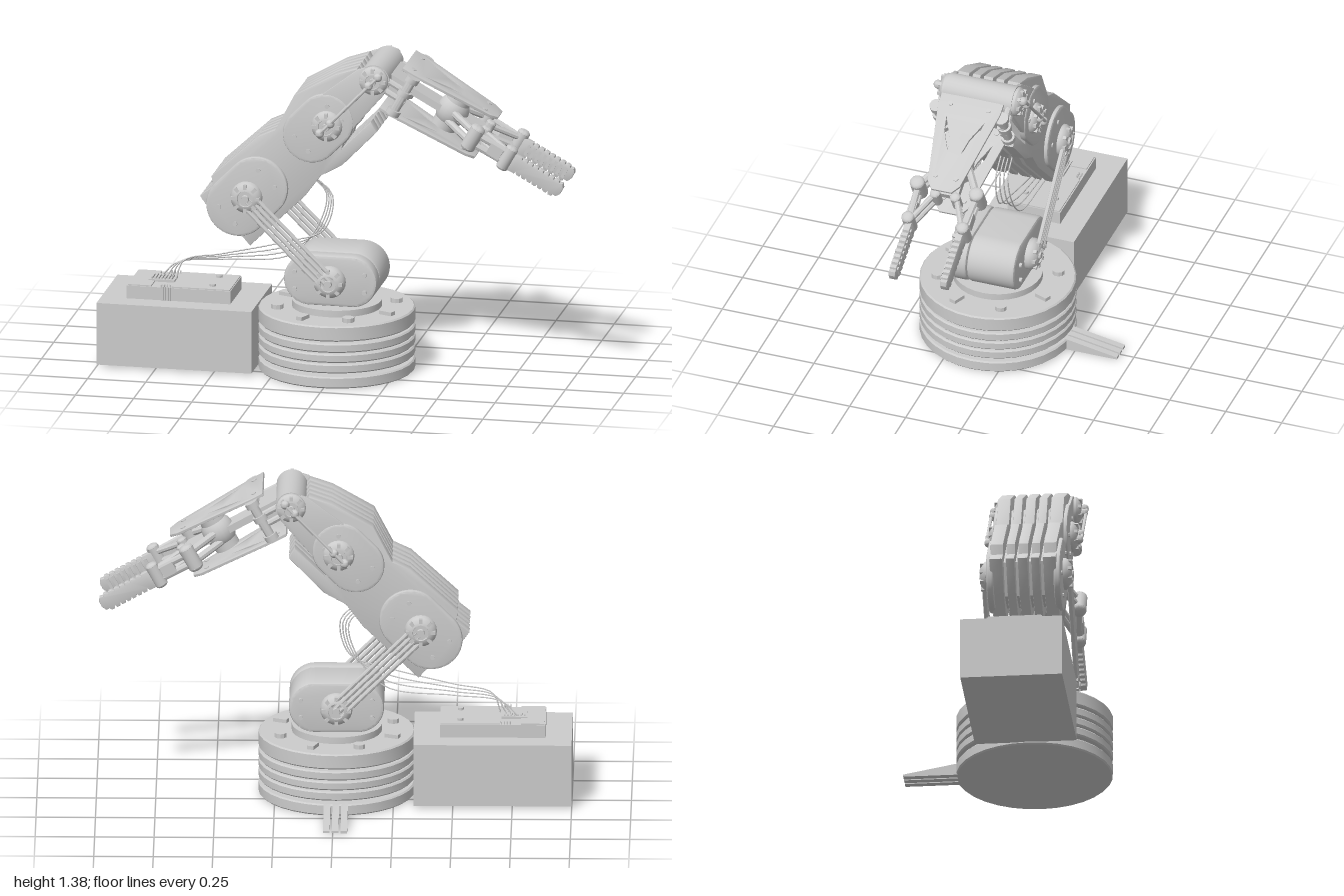
import * as THREE from 'three';
import { toCreasedNormals } from 'three/addons/utils/BufferGeometryUtils.js';

const mat = new THREE.MeshStandardMaterial({ color: 0xcccccc, side: THREE.DoubleSide });
const V = (x, y, z) => new THREE.Vector3(x, y, z);

function add(parent, name, geo, x = 0, y = 0, z = 0) {
  const m = new THREE.Mesh(toCreasedNormals(geo, 0.6), mat);
  m.name = name;
  m.position.set(x, y, z);
  parent.add(m);
  return m;
}
const box = (p, name, w, h, d, x, y, z) => add(p, name, new THREE.BoxGeometry(w, h, d), x, y, z);
const cyl = (p, name, r, h, x, y, z, n = 20) => add(p, name, new THREE.CylinderGeometry(r, r, h, n), x, y, z);
const axle = (p, name, r, h, x, y, z, n = 24) => add(p, name, new THREE.CylinderGeometry(r, r, h, n).rotateX(Math.PI / 2), x, y, z);
const ball = (p, name, r, x, y, z) => add(p, name, new THREE.SphereGeometry(r, 14, 10), x, y, z);

// Round bar between two points
function rod(p, name, a, b, r, n = 8) {
  const m = add(p, name, new THREE.CylinderGeometry(r, r, a.distanceTo(b), n));
  m.position.copy(a).lerp(b, 0.5);
  m.quaternion.setFromUnitVectors(V(0, 1, 0), b.clone().sub(a).normalize());
  return m;
}

// Outline extruded along z, centred on depth
function slab(p, name, shape, depth, z, bevel = 0.005) {
  const d = depth - 2 * bevel;
  const geo = new THREE.ExtrudeGeometry(shape, { depth: d, bevelEnabled: bevel > 0, bevelSize: bevel, bevelThickness: bevel, bevelOffset: -bevel, bevelSegments: 2, curveSegments: 14 });
  return add(p, name, geo.translate(0, 0, -d / 2), 0, 0, z);
}
const poly = (pts) => new THREE.Shape(pts.map(([x, y]) => new THREE.Vector2(x, y)));

// Stadium centred on (x, y), half spacing h, radius r, tilted by angle a
function stadium(x, y, h, r, a) {
  const s = new THREE.Shape(), c = Math.cos(a) * h, d = Math.sin(a) * h, q = Math.PI / 2;
  s.absarc(x + c, y + d, r, a - q, a + q);
  s.absarc(x - c, y - d, r, a + q, a + 3 * q);
  s.closePath();
  return s;
}

// Domed joint cap with a ring of ribs, on the side given by the sign s
function hub(p, x, y, base, s, r = 0.068, h = 0.055) {
  const g = new THREE.Group();
  g.name = 'jointCap';
  const pts = [[r, 0], [r, 0.35], [r * 0.9, 0.6], [r * 0.68, 0.88], [r * 0.5, 0.93], [r * 0.48, 0.8], [r * 0.25, 0.8], [r * 0.22, 1], [0, 1]];
  add(g, 'dome', new THREE.LatheGeometry(pts.map(([a, b]) => new THREE.Vector2(a, b * h)), 24).rotateX(Math.PI / 2));
  for (let i = 0; i < 8; i++) {
    const a = i * Math.PI / 4;
    const m = box(g, 'capRib', r * 0.3, 0.014, 0.016, Math.cos(a) * r * 0.76, Math.sin(a) * r * 0.76, h * 0.74);
    m.rotation.z = a;
  }
  g.position.set(x, y, base * s);
  if (s < 0) g.rotation.y = Math.PI;
  p.add(g);
}

function buildBase(g) {
  // Stacked discs round a narrower core
  cyl(g, 'baseCore', 0.25, 0.2, 0, 0.13, 0, 32);
  for (const [y0, y1] of [[0, 0.05], [0.066, 0.106], [0.112, 0.15], [0.156, 0.196], [0.205, 0.272]]) {
    const b = 0.006, R = 0.33;
    const pts = [[0, y0], [R - b, y0], [R, y0 + b], [R, y1 - b], [R - b, y1], [0, y1]];
    add(g, 'baseDisc', new THREE.LatheGeometry(pts.map((q) => new THREE.Vector2(...q)), 32));
  }
  cyl(g, 'turntable', 0.19, 0.03, 0, 0.286, 0, 32);
  for (let i = 0; i < 8; i++) {
    const a = (i + 0.5) * Math.PI / 4, c = Math.cos(a) * 0.255, s = Math.sin(a) * 0.255;
    if (i % 2) cyl(g, 'baseBolt', 0.026, 0.022, c, 0.28, s, 10);
    else box(g, 'baseLug', 0.06, 0.018, 0.03, c, 0.279, s).rotation.y = -a;
  }
  // Tapered prongs reaching out at the back
  for (const x of [-0.037, 0, 0.037]) {
    const m = slab(g, 'rearProng', poly([[0.28, 0], [0.55, 0], [0.55, 0.01], [0.33, 0.05], [0.28, 0.05]]), 0.028, 0, 0);
    m.rotation.y = Math.PI / 2;
    m.position.x = x;
  }
}

function buildControl(g) {
  box(g, 'supplyBox', 0.665, 0.27, 0.43, -0.667, 0.145, 0.105);
  box(g, 'controlBoard', 0.445, 0.056, 0.235, -0.667, 0.308, 0.108);
  box(g, 'controlCoverFront', 0.25, 0.006, 0.225, -0.573, 0.338, 0.108);
  box(g, 'controlCoverRear', 0.1, 0.006, 0.225, -0.835, 0.338, 0.108);
  box(g, 'terminal', 0.11, 0.012, 0.075, -0.757, 0.34, 0.107);
  for (let i = 0; i < 7; i++) {
    box(g, 'terminalPin', 0.007, 0.014, 0.06, -0.8 + i * 0.014, 0.347, 0.107);
    for (const z of [0, 0.216]) cyl(g, 'boardPin', 0.003, 0.014, -0.74 + (i % 4) * 0.012, 0.341, z + (i > 3 ? 0.012 : 0), 6);
  }
  for (let i = 0; i < 4; i++) box(g, 'sidePin', 0.006, 0.06, 0.008, -0.735 + i * 0.011, 0.31, 0.228);
  for (const z of [0.04, 0.175]) cyl(g, 'controlKnob', 0.013, 0.012, -0.53, 0.345, z, 10);
  // Loose wires up to the forearm
  for (let i = 0; i < 4; i++) {
    const o = i * 0.012, z = 0.085 + i * 0.014;
    const pts = [V(-0.77 + o * 2, 0.345, z), V(-0.7 + o, 0.41 + o * 0.6, z), V(-0.5, 0.435 + o, z), V(-0.22, 0.47 + o * 2, z), V(-0.1 + o, 0.6, z), V(-0.06 + o, 0.75, z), V(-0.11 + o, 0.81, z), V(-0.17, 0.87, z)];
    add(g, 'wire', new THREE.TubeGeometry(new THREE.CatmullRomCurve3(pts), 40, 0.003, 5));
  }
}

function buildArm(g) {
  const q = Math.PI / 4, S = [-0.01, 0.415], E = [-0.365, 0.768], M = [-0.02, 1.1], W = [0.18, 1.31];
  // Shoulder motor housing in two shells
  slab(g, 'shoulderShell', stadium(...S, 0.09, 0.11, 0), 0.212, -0.036, 0.012);
  slab(g, 'shoulderCover', stadium(...S, 0.09, 0.11, 0), 0.07, 0.107, 0.012);
  // Five layered forearm plates round a recessed core
  const outline = [[-0.57, 0.755], [-0.515, 0.8], [-0.52, 0.845], [-0.32, 1.03], [-0.245, 1.065], [-0.165, 1.22], [0.01, 1.32], [0.105, 1.352], [0.15, 1.28], [0.07, 1.12], [0.04, 1.0], [0.165, 1.125], [0.19, 1.08], [0.04, 0.925], [-0.05, 0.875], [-0.12, 0.78], [-0.355, 0.55], [-0.385, 0.585], [-0.47, 0.625], [-0.53, 0.7]].reverse();
  const core = [[-0.5, 0.77], [-0.3, 0.98], [-0.2, 1.05], [-0.13, 1.18], [0.09, 1.3], [0.04, 1.08], [-0.08, 0.93], [-0.16, 0.81], [-0.34, 0.63], [-0.44, 0.64]].reverse();
  slab(g, 'forearmCore', poly(core), 0.26, 0);
  for (const [z, w] of [[-0.113, 0.055], [-0.053, 0.036], [0, 0.042], [0.053, 0.036], [0.113, 0.055]]) slab(g, 'forearmPlate', poly(outline), w, z, 0.004);

  axle(g, 'wristMotor', 0.066, 0.3, ...W, 0);
  for (const s of [-1, 1]) {
    hub(g, ...S, 0.14, s);
    hub(g, ...E, 0.15, s, 0.068, 0.048);
    hub(g, ...M, 0.15, s, 0.066, 0.04);
    hub(g, ...W, 0.15, s, 0.062, 0.035);
    slab(g, 'elbowCover', stadium(...E, 0.06, 0.133, q), 0.03, s * 0.142, 0.01);
    slab(g, 'forearmMotorCover', stadium(-0.06, 1.085, 0.045, 0.12, q), 0.03, s * 0.142, 0.01);
    slab(g, 'wristBracket', poly([[-0.1, 1.19], [-0.04, 1.05], [0.07, 1.07], [0.22, 1.245], [0.245, 1.3], [0.225, 1.355], [0.18, 1.374], [0.11, 1.352]].reverse()), 0.018, s * 0.143, 0.003);
    // Cover screws
    for (const [c, h, r, a] of [[S, 0.15, 0.075, 0], [E, 0.12, 0.1, q], [[-0.06, 1.085], 0.1, 0.085, q]])
      for (const i of [-1, 1]) for (const j of [-0.5, 0.5]) {
        const u = i * h, v = j * r;
        axle(g, 'coverScrew', 0.01, 0.012, c[0] + u * Math.cos(a) - v * Math.sin(a), c[1] + u * Math.sin(a) + v * Math.cos(a), s * 0.157, 8);
      }
    // Lower link made of parallel bars
    for (let i = 0; i < 4; i++) {
      const o = (i - 1.5) * 0.0155;
      rod(g, 'lowerLinkBar', V(S[0] + o, S[1] + o, s * 0.18), V(E[0] + o, E[1] + o, s * 0.18), 0.0095);
    }
    // Thin tie rod with ball ends beside the wrist bracket
    rod(g, 'tieRod', V(-0.05, 1.07, s * 0.2), V(0.21, 1.34, s * 0.2), 0.007);
    for (const [x, y] of [[-0.045, 1.075], [0, 1.12], [0.165, 1.295], [0.205, 1.335]]) ball(g, 'tieRodBall', 0.019, x, y, s * 0.19);
  }
}

// Hand frame: x runs along the hand, y is normal to its plates
function buildHand(h) {
  const plate = poly([[0.078, -0.138], [0.13, -0.138], [0.49, -0.072], [0.526, -0.045], [0.526, 0.045], [0.49, 0.072], [0.13, 0.138], [0.078, 0.138]]);
  for (const s of [-1, 1])
    plate.holes.push(new THREE.Path([[0.18, 0.085], [0.25, 0.072], [0.34, 0.03], [0.27, 0.045]].map(([x, y]) => new THREE.Vector2(x, y * s))));
  for (const y of [0.104, -0.1]) {
    slab(h, 'handPlate', plate, 0.012, 0, 0.002).rotation.x = Math.PI / 2;
    h.children.at(-1).position.y = y;
    for (const s of [-1, 1]) for (const [u, w] of [[0.12, 0.085], [0.46, 0.045]]) cyl(h, 'plateScrew', 0.011, 0.02, u, y, w * s, 8);
  }
  // Palm bar and gripper motor
  box(h, 'palmBar', 0.46, 0.03, 0.1, 0.27, 0.01, 0);
  box(h, 'wristMount', 0.1, 0.07, 0.2, 0.08, 0.01, 0);
  add(h, 'gripperMotor', new THREE.SphereGeometry(0.07, 20, 14).scale(1, 1.1, 1), 0.344, 0.015, 0);
  cyl(h, 'motorCollar', 0.055, 0.16, 0.344, 0.015, 0);

  const finger = [[0.655, -0.036], [0.68, -0.042]];
  for (let i = 0; i < 8; i++) finger.push([0.69 + i * 0.026, -0.04], [0.704 + i * 0.026, -0.04], [0.708 + i * 0.026, -0.029]);
  finger.push([0.905, -0.03], [0.916, -0.01], [0.916, 0.018], [0.905, 0.034]);
  for (let i = 7; i >= 0; i--) finger.push([0.708 + i * 0.026, 0.03], [0.704 + i * 0.026, 0.038], [0.69 + i * 0.026, 0.038]);
  finger.push([0.655, 0.036]);

  for (const s of [-1, 1]) {
    // Side arms and upright posts
    for (const y of [-0.018, 0.026]) rod(h, 'sideArm', V(0, y, s * 0.135), V(0.16, y, s * 0.14), 0.014);
    cyl(h, 'sidePost', 0.02, 0.19, 0.138, 0.005, s * 0.145, 12);
    for (const y of [-0.075, 0.02, 0.09]) cyl(h, 'postCollar', 0.03, 0.025, 0.138, y, s * 0.145, 12);
    // Finger linkage
    for (const y of [-0.02, 0.025]) {
      rod(h, 'outerLink', V(0.35, y, s * 0.05), V(0.481, y, s * 0.13), 0.016);
      rod(h, 'outerLink', V(0.481, y, s * 0.13), V(0.647, y, s * 0.12), 0.015);
      rod(h, 'innerLink', V(0.5, y, s * 0.045), V(0.647, y, s * 0.115), 0.013);
    }
    for (const [u, w, r, t] of [[0.481, 0.132, 0.032, 0.115], [0.647, 0.122, 0.027, 0.115], [0.51, 0.045, 0.022, 0.09]]) {
      cyl(h, 'knuckle', r, t * 0.8, u, 0.004, s * w, 14);
      for (const e of [-1, 1]) add(h, 'knuckleCap', new THREE.SphereGeometry(r, 14, 8).scale(1, 0.5, 1), u, 0.004 + e * t * 0.4, s * w);
    }
    box(h, 'fingerMount', 0.06, 0.05, 0.035, 0.59, 0.004, s * 0.125);
    slab(h, 'finger', poly(finger), 0.03, s * 0.115, 0.003);
    for (let i = 0; i < 8; i++) box(h, 'gripTooth', 0.013, 0.05, 0.01, 0.697 + i * 0.026, 0, s * 0.099);
  }
}

export function createModel() {
  const root = new THREE.Group();
  root.name = 'robotArm';
  const part = (name, parent, x, y, z) => {
    const g = new THREE.Group();
    g.name = name;
    g.position.set(x, y, z);
    parent.add(g);
    return g;
  };
  buildBase(part('base', root, -0.01, 0, 0.112));
  buildControl(part('controlUnit', root, 0, 0, 0));
  const arm = part('arm', root, 0, 0, 0.112);
  buildArm(arm);
  const hand = part('hand', arm, 0.18, 1.31, 0);
  hand.rotation.z = -0.51;
  buildHand(hand);
  return root;
}
